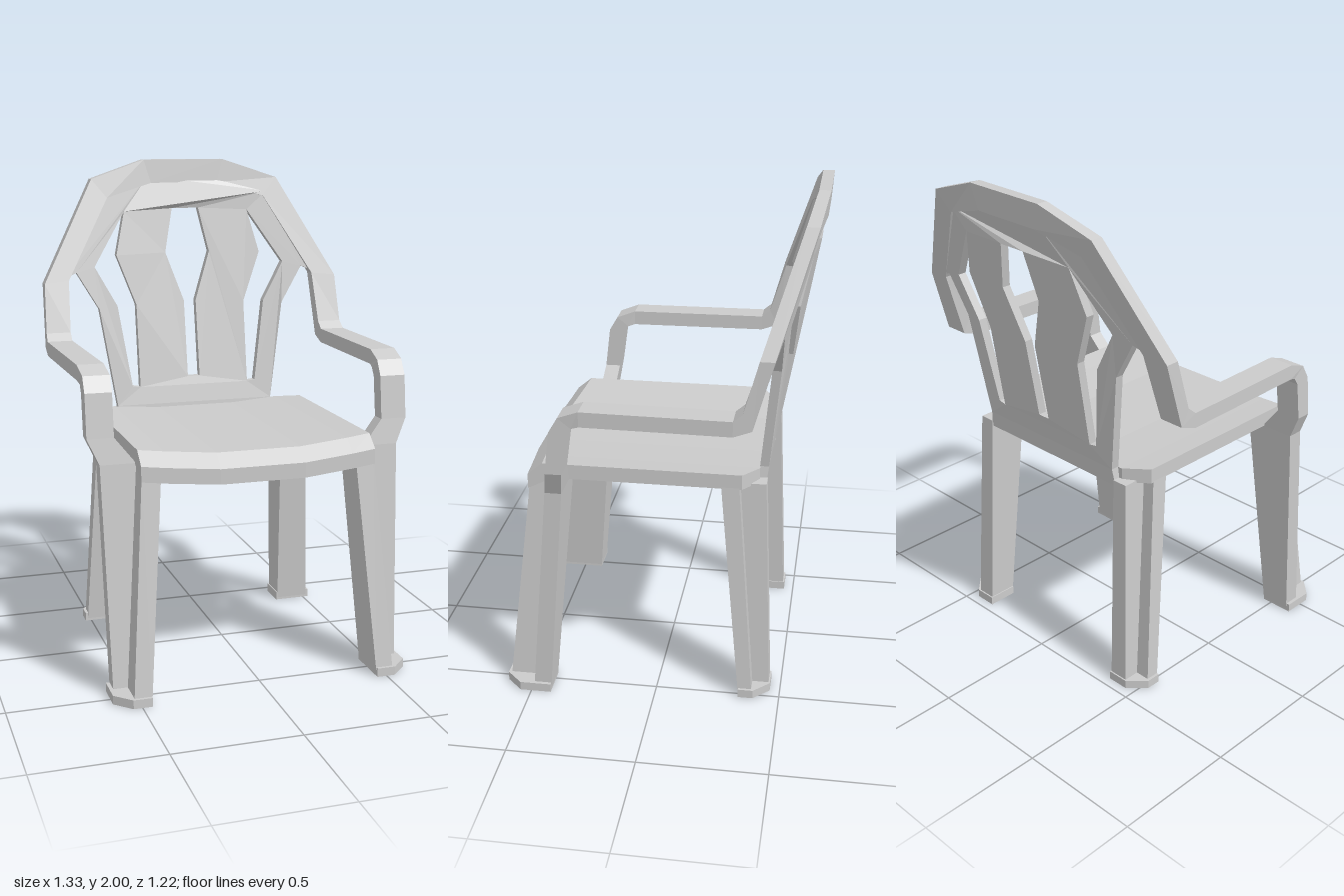
import * as THREE from 'three';

const material = new THREE.MeshStandardMaterial({ color: 0xcccccc, flatShading: true });

function addMesh(group, name, geometry) {
  const mesh = new THREE.Mesh(geometry, material);
  mesh.name = name;
  group.add(mesh);
}

// Closed solid through equal-sized rings of [x, y, z]; faces are turned outward
function loft(rings) {
  const n = rings[0].length, last = (rings.length - 1) * n, index = [];
  for (let r = 0; r < rings.length - 1; r++) {
    for (let i = 0; i < n; i++) {
      const a = r * n + i, b = r * n + (i + 1) % n;
      index.push(a, b, b + n, a, b + n, a + n);
    }
  }
  for (let i = 1; i < n - 1; i++) {
    index.push(0, i + 1, i, last, last + i, last + i + 1);
  }
  const points = rings.flat().map(p => new THREE.Vector3(...p));
  let volume = 0;
  for (let i = 0; i < index.length; i += 3) {
    const [a, b, c] = index.slice(i, i + 3).map(k => points[k]);
    volume += a.dot(b.clone().cross(c));
  }
  if (volume < 0) index.reverse();
  const indexed = new THREE.BufferGeometry().setFromPoints(points);
  indexed.setIndex(index);
  const geometry = indexed.toNonIndexed();
  geometry.computeVertexNormals();
  return geometry;
}

// Seat: side profile swept across x, dished and bowed forward in the middle
function seatGeometry() {
  const stations = [[0.47, 0, 0, -0.33], [0.37, 0.01, 0.01, -0.39], [0.17, 0.025, 0.03, -0.39]];
  const all = [...stations.map(([x, ...rest]) => [-x, ...rest]), ...stations.reverse()];
  return loft(all.map(([x, sag, bow, back]) => [
    [0.41 + bow, 0.90], [0.51 + bow, 0.85], [0.51 + bow, 0.91],
    [0.45 + bow, 0.96], [back, 0.96], [back, 0.90],
  ].map(([z, y]) => [x, y - sag, z])));
}

// Rim of the back running on into the arms and front posts, as one sweep
function rimGeometry() {
  // each ring: outer front, outer back, inner back, inner front
  const half = [
    [[0.18, 2.0, -0.565], [0.18, 2.0, -0.61], [0.15, 1.9, -0.603], [0.15, 1.9, -0.555]],
    [[0.42, 1.92, -0.535], [0.42, 1.92, -0.585], [0.355, 1.84, -0.57], [0.355, 1.84, -0.52]],
    [[0.655, 1.49, -0.40], [0.655, 1.49, -0.455], [0.55, 1.5, -0.465], [0.55, 1.5, -0.41]],
  ];
  // outer x, inner x, then y and z of the upper and the lower edge
  const arm = [
    [0.662, 0.56, 1.29, -0.345, 1.225, -0.38],
    [0.665, 0.56, 1.26, -0.31, 1.20, -0.31],
    [0.655, 0.55, 1.26, 0.26, 1.20, 0.26],
    [0.65, 0.545, 1.23, 0.34, 1.19, 0.29],
    [0.65, 0.545, 1.17, 0.375, 1.16, 0.31],
    [0.65, 0.545, 1.0, 0.395, 1.0, 0.332],
    [0.605, 0.465, 0.9, 0.41, 0.9, 0.345],
  ];
  for (const [xo, xi, y1, z1, y2, z2] of arm) {
    half.push([[xo, y1, z1], [xo, y2, z2], [xi, y2, z2], [xi, y1, z1]]);
  }
  const mirrored = half.map(ring => ring.map(([x, y, z]) => [-x, y, z]));
  return loft([...mirrored.reverse(), ...half]);
}

// Slatted back: flat plate with three openings, leaned back and curved
function backGeometry() {
  const vectors = list => list.map(([x, y]) => new THREE.Vector2(x, y));
  const mirror = list => list.map(([x, y]) => [-x, y]).reverse();
  const edge = [[0.36, 0.88], [0.35, 0.95], [0.415, 1.37], [0.51, 1.53],
    [0.56, 1.51], [0.37, 1.86], [0.16, 1.93]];
  const centre = [[0.027, 1.06], [0.027, 1.39], [0.1, 1.6], [0.06, 1.79]];
  const side = [[0.245, 1.025], [0.28, 1.03], [0.333, 1.38], [0.428, 1.55],
    [0.28, 1.78], [0.325, 1.595], [0.245, 1.38]];
  const shape = new THREE.Shape(vectors([...edge, ...mirror(edge)]));
  for (const hole of [[...centre, ...mirror(centre)], side, mirror(side)]) {
    shape.holes.push(new THREE.Path(vectors(hole)));
  }
  const depth = 0.035;
  const geometry = new THREE.ExtrudeGeometry(shape, { depth, bevelEnabled: false });
  const p = geometry.attributes.position;
  for (let i = 0; i < p.count; i++) {
    const x = Math.abs(p.getX(i)), y = p.getY(i);
    const curve = 0.17 * Math.max(0, x - 0.18) * Math.min(1, (y - 0.85) / 0.5);
    p.setZ(i, p.getZ(i) - depth - 0.39 - 0.18 * (y - 0.93) + curve);
  }
  geometry.computeVertexNormals();
  return geometry;
}

// Leg: L-shaped section with its notch at the outer corner
function legGeometry(side, top, bottom) {
  return loft([top, bottom].map(([y, xi, xn, xo, zi, zn, zo]) => [
    [xn, zn], [xn, zo], [xi, zo], [xi, zi], [xo, zi], [xo, zn],
  ].map(([x, z]) => [side * x, y, z])));
}

// Foot: thin pad with a chamfered outer corner
function footGeometry(side, xi, xo, zi, zo) {
  const cut = 0.065, zc = zo - Math.sign(zo) * cut;
  const outline = [[xi, zi], [xo, zi], [xo, zc], [xo - cut, zo], [xi, zo]];
  return loft([0, 0.035].map(y => outline.map(([x, z]) => [side * x, y, z])));
}

export function createModel() {
  const chair = new THREE.Group();
  chair.name = 'armchair';
  addMesh(chair, 'seat', seatGeometry());
  addMesh(chair, 'backPanel', backGeometry());
  addMesh(chair, 'rimAndArms', rimGeometry());

  for (const [side, label] of [[1, 'left'], [-1, 'right']]) {
    addMesh(chair, label + 'FrontLeg', legGeometry(side,
      [0.9, 0.39, 0.465, 0.605, 0.345, 0.41, 0.5],
      [0.01, 0.46, 0.53, 0.585, 0.42, 0.49, 0.6]));
    addMesh(chair, label + 'FrontFoot', footGeometry(side, 0.46, 0.6, 0.42, 0.61));
    addMesh(chair, label + 'BackLeg', legGeometry(side,
      [0.905, 0.355, 0.42, 0.47, -0.25, -0.32, -0.42],
      [0.01, 0.375, 0.455, 0.515, -0.335, -0.39, -0.455]));
    addMesh(chair, label + 'BackFoot', footGeometry(side, 0.37, 0.525, -0.335, -0.46));
  }
  return chair;
}
